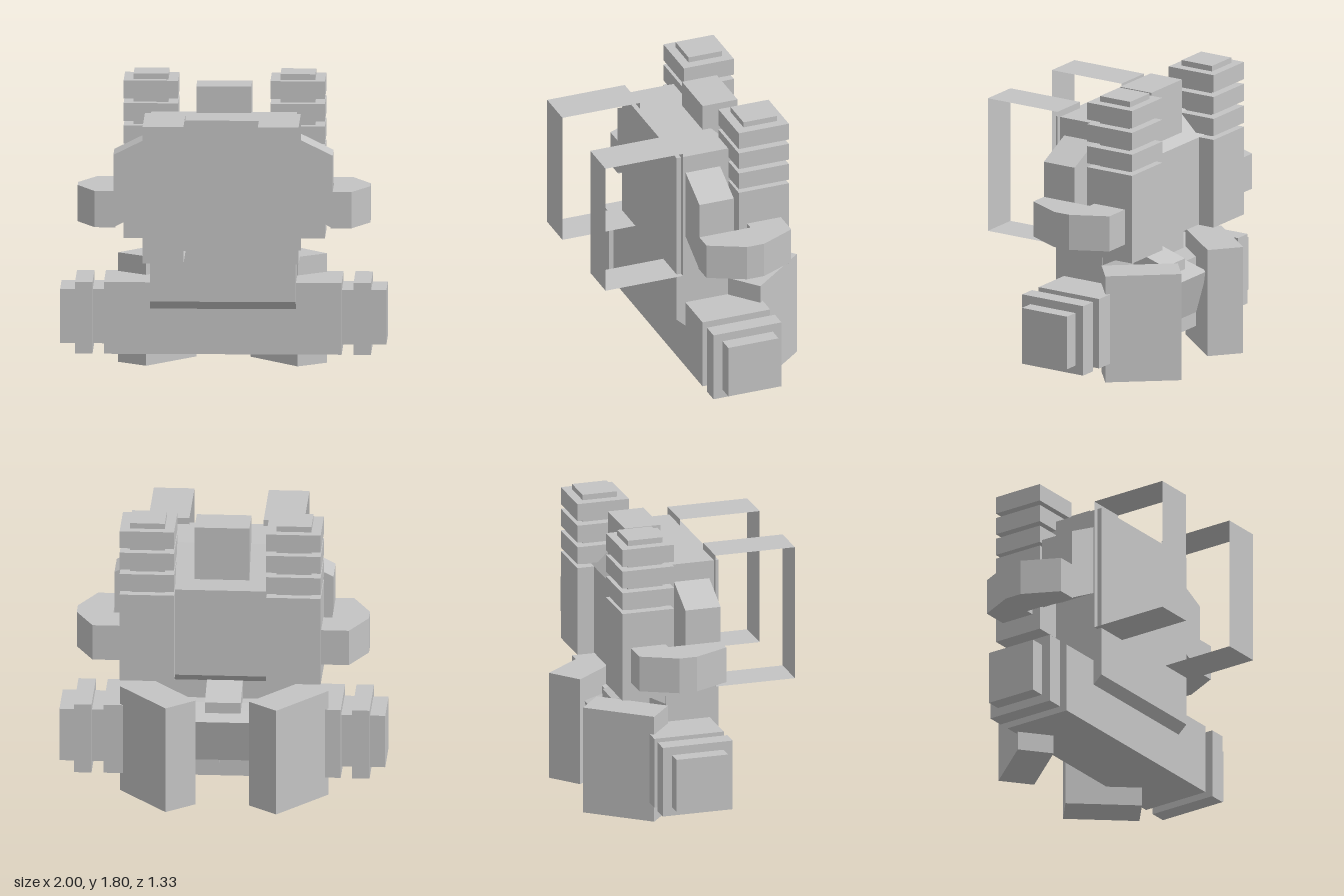
import * as THREE from 'three';

const grey = new THREE.MeshStandardMaterial({ color: 0xc4c4c4, side: THREE.DoubleSide });

export function createModel() {
  const root = new THREE.Group();

  function add(name, geometry) {
    const mesh = new THREE.Mesh(geometry, grey);
    mesh.name = name;
    root.add(mesh);
    return mesh;
  }

  // Box given by its limits on each axis
  function box(name, x0, x1, y0, y1, z0, z1) {
    const g = new THREE.BoxGeometry(Math.abs(x1 - x0), y1 - y0, z1 - z0);
    return add(name, g.translate((x0 + x1) / 2, (y0 + y1) / 2, (z0 + z1) / 2));
  }

  function extrude(points, depth) {
    const shape = new THREE.Shape(points.map(([a, b]) => new THREE.Vector2(a, b)));
    return new THREE.ExtrudeGeometry(shape, { depth, bevelEnabled: false });
  }

  // Side profile of [z, y] points, swept from x0 to x1
  const sideProfile = (name, points, x0, x1) =>
    add(name, extrude(points, x1 - x0).rotateY(-Math.PI / 2).translate(x1, 0, 0));

  // Main body with a chamfered lower front edge
  sideProfile('body', [
    [0.18, 0.455], [0.18, 1.58], [-0.16, 1.58], [-0.16, 0.4], [0.12, 0.4],
  ], -0.447, 0.447);

  // Rear housing, sloped above and below
  sideProfile('rearHousing', [
    [-0.15, 1.58], [-0.16, 1.58], [-0.387, 1.355], [-0.387, 0.797], [-0.16, 0.68], [-0.15, 0.68],
  ], -0.445, 0.445);

  box('topBlock', -0.17, 0.167, 1.34, 1.745, -0.335, -0.105);

  // Cross bar with a narrower core through its end plates
  box('crossBar', -0.73, 0.727, 0.12, 0.565, -0.325, 0.122);
  box('crossBarCore', -1, 1, 0.175, 0.512, -0.27, 0.062);

  // Rear thruster, its link to the body and two nozzles
  sideProfile('thruster', [
    [-0.28, 0.58], [-0.36, 0.56], [-0.48, 0.525], [-0.4, 0.25], [-0.28, 0.25],
  ], -0.23, 0.19);
  sideProfile('thrusterLink', [
    [-0.15, 0.695], [-0.39, 0.62], [-0.39, 0.5], [-0.15, 0.5],
  ], -0.12, 0.1);
  for (const x of [-0.12, 0.08]) box('nozzle', x - 0.07, x + 0.07, 0.22, 0.26, -0.39, -0.3);

  for (const s of [1, -1]) {
    box('endPlate', s * 0.8, s * 0.907, 0.12, 0.565, -0.327, 0.122);

    // Tower with three ribs around a thin core
    box('towerBase', s * 0.283, s * 0.617, 0.793, 1.355, -0.493, -0.162);
    box('towerCore', s * 0.343, s * 0.557, 1.3, 1.805, -0.44, -0.218);
    for (const y of [1.38, 1.52, 1.66]) {
      box('towerRib', s * 0.283, s * 0.617, y, y + 0.11, -0.493, -0.162);
    }

    // Shoulder bracket
    const shoulder = [[0.43, 1.475], [0.672, 1.355], [0.672, 0.905], [0.43, 1.03]];
    add('shoulder', extrude(shoulder.map(([x, y]) => [s * x, y]), 0.227).translate(0, 0, -0.107));

    // Arm curving backward into the tower
    const arm = [
      [0.66, 0.12], [0.787, 0.12], [0.897, -0.105], [0.897, -0.217],
      [0.787, -0.44], [0.5, -0.44], [0.5, -0.217], [0.672, -0.217], [0.672, -0.105], [0.66, -0.105],
    ];
    add('arm', extrude(arm.map(([x, z]) => [s * x, -z]), 0.225).rotateX(-Math.PI / 2).translate(0, 0.905, 0));

    // Rear foot, turned outward
    const foot = add('foot', new THREE.BoxGeometry(0.227, 0.68, 0.47));
    foot.position.set(s * 0.402 - 0.0145, 0.34, -0.41);
    foot.rotation.y = s * 0.692;

    // Shoulder strap: a thin rectangular loop open at both sides
    const strap = new THREE.Group();
    strap.name = 'strap';
    strap.position.set(s * 0.353, 1.195, 0.406);
    for (let i = 0; i < 4; i++) {
      const upright = i % 2 === 0;
      const g = new THREE.PlaneGeometry(0.25, upright ? 0.85 : 0.512);
      g.translate(0, 0, upright ? 0.256 : 0.425).rotateX((i * Math.PI) / 2);
      const side = new THREE.Mesh(g, grey);
      side.name = 'strapSide';
      strap.add(side);
    }
    root.add(strap);
  }

  return root;
}
